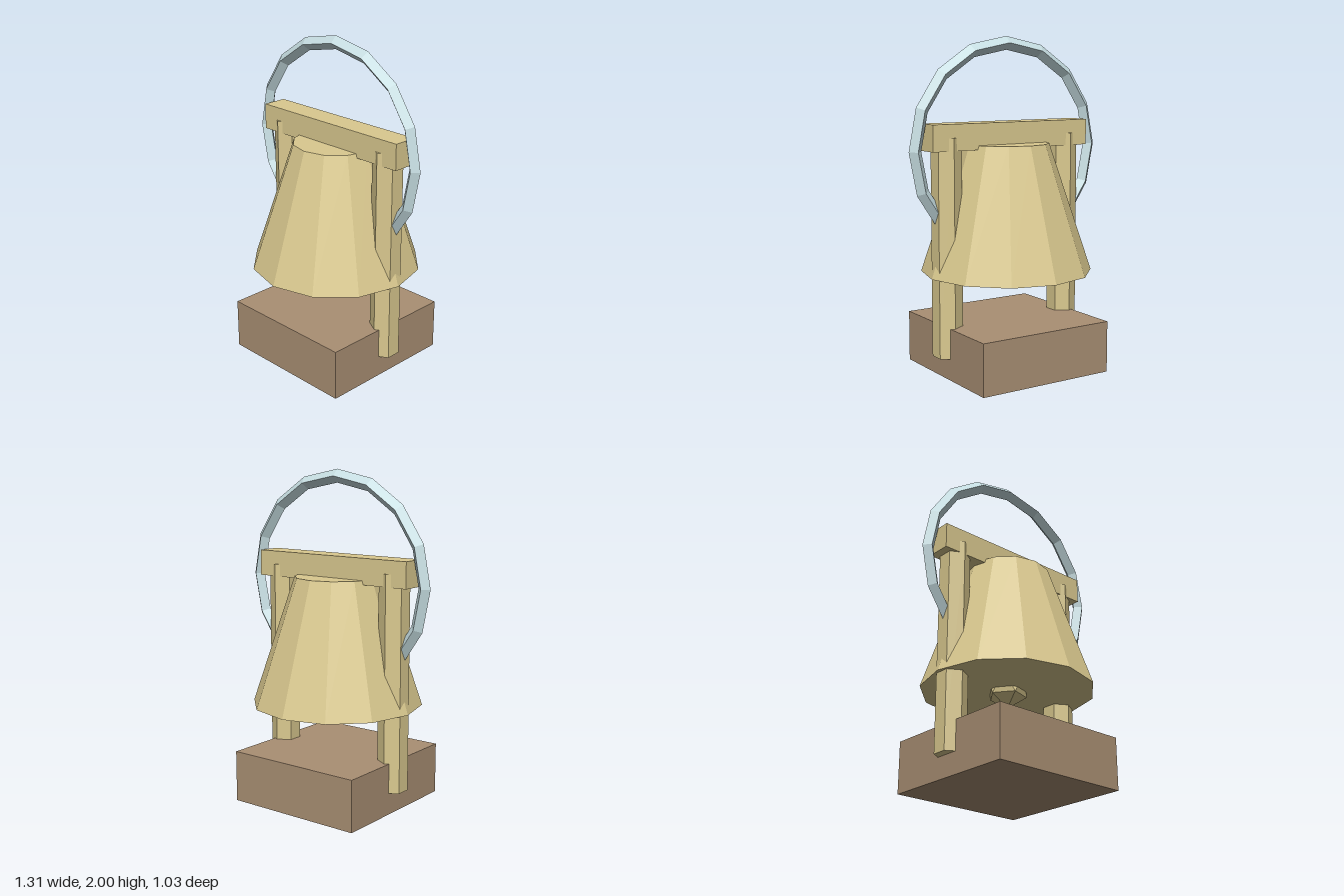
import * as THREE from 'three';
import { ConvexGeometry } from 'three/addons/geometries/ConvexGeometry.js';

const paint = (name, color) => {
  const material = new THREE.MeshStandardMaterial({ color, flatShading: true });
  material.name = name;
  return material;
};

export function createModel() {
  const model = new THREE.Group();
  model.name = 'handBell';

  const brass = paint('pale brass', 0xdac98f);
  const wood = paint('brown wood', 0xa98f73);
  const steel = paint('pale blue steel', 0xc6dde1);

  const add = (name, geometry, material, x, y, z = 0) => {
    const mesh = new THREE.Mesh(geometry, material);
    mesh.name = name;
    mesh.position.set(x, y, z);
    model.add(mesh);
    return mesh;
  };

  // Square base block
  add('base', new THREE.BoxGeometry(0.875, 0.31, 0.875), wood, 0, 0.155);

  // Hexagonal posts sunk into the base, joined by a crossbeam
  const postGeometry = new THREE.CylinderGeometry(0.09, 0.09, 1.29, 6);
  add('leftPost', postGeometry, brass, 0.412, 0.775);
  add('rightPost', postGeometry, brass, -0.412, 0.775);
  add('crossbeam', new THREE.BoxGeometry(1.08, 0.155, 0.15), brass, 0, 1.4225);

  // Twelve-sided bell
  add('bell', new THREE.CylinderGeometry(0.257, 0.515, 0.77, 12), brass, 0, 0.985);

  // Twenty-sided clapper standing on one corner
  const r = 0.1275;
  const points = [new THREE.Vector3(0, r, 0), new THREE.Vector3(0, -r, 0)];
  for (let i = 0; i < 5; i++) {
    const a = (i * 2 * Math.PI) / 5;
    const x = 0.894 * r * Math.cos(a);
    const z = 0.894 * r * Math.sin(a);
    points.push(new THREE.Vector3(x, 0.447 * r, z), new THREE.Vector3(-x, -0.447 * r, z));
  }
  add('clapper', new ConvexGeometry(points), brass, 0, 0.6275);

  // Ring with a diamond cross-section, passing through the posts and bell
  add('ring', new THREE.TorusGeometry(0.615, 0.04, 4, 16), steel, 0, 1.345);

  return model;
}
